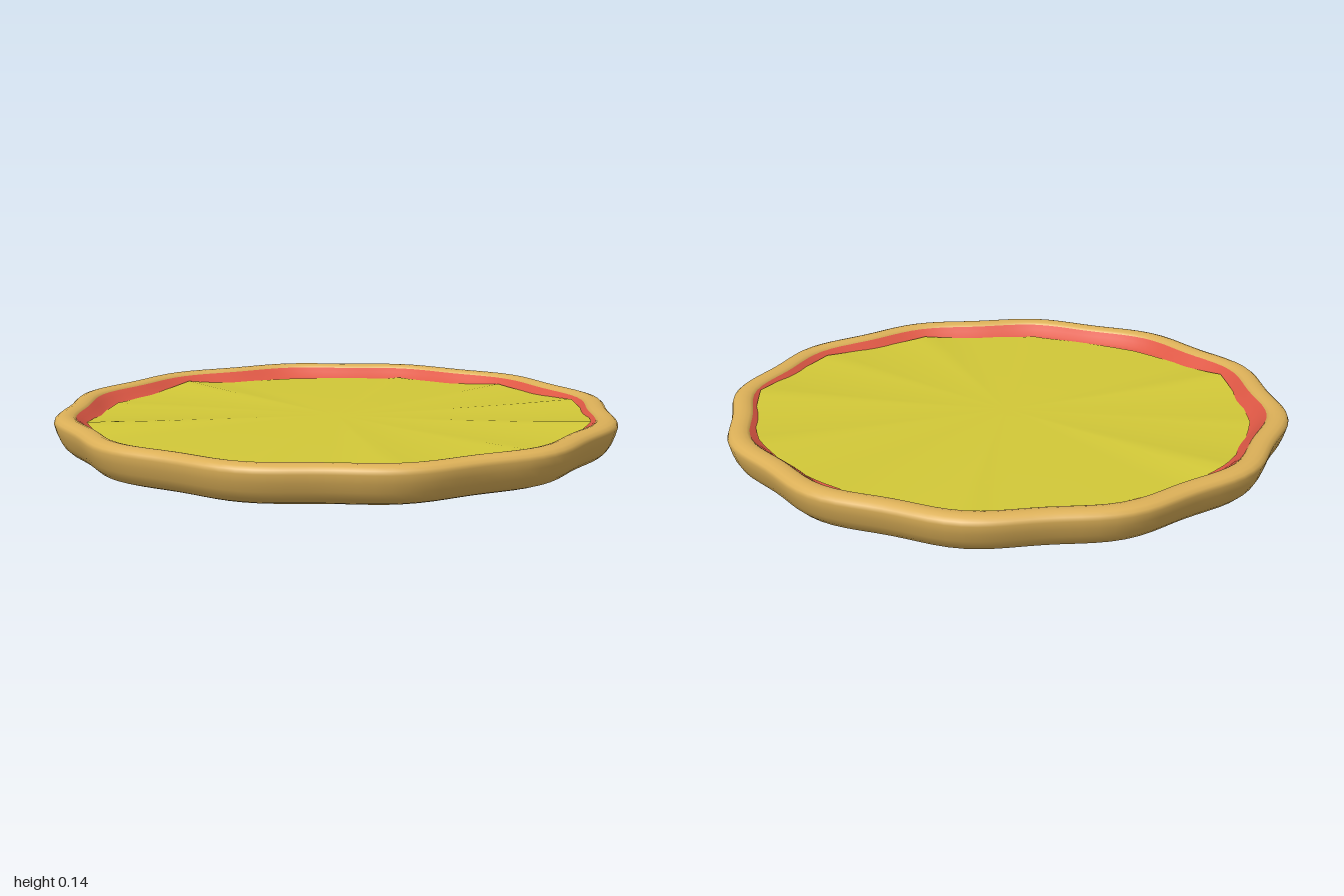
import * as THREE from 'three';
import { mergeVertices } from 'three/addons/utils/BufferGeometryUtils.js';

const SEGMENTS = 120;

// Gently lobed outline: twelve hand-pressed bulges around the rim
const outline = (a) => 0.986 + 0.014 * Math.cos(12 * a);

// Cheese reach at every 30 degrees, counterclockwise from +x
const reach = [0.91, 0.9, 0.885, 0.87, 0.855, 0.888, 0.868, 0.888, 0.853, 0.866, 0.882, 0.895];

function cheeseRadius(a) {
  const t = ((a / (Math.PI * 2)) * 12 + 12) % 12;
  const i = Math.floor(t), f = t - i;
  const r = reach[i % 12] * (1 - f) + reach[(i + 1) % 12] * f;
  return r - 0.06 * f * (1 - f); // nearly straight edge between corners
}

// Revolve a profile, then move each vertex by a rule(radius, y, angle) -> [radius, y]
function revolve(name, profile, color, rule) {
  let geo = new THREE.LatheGeometry(profile.map(([r, y]) => new THREE.Vector2(r, y)), SEGMENTS);
  const p = geo.attributes.position;
  for (let i = 0; i < p.count; i++) {
    const x = p.getX(i), z = p.getZ(i);
    const a = Math.atan2(-z, x);
    const [r, y] = rule(Math.hypot(x, z), p.getY(i), a);
    p.setXYZ(i, r * Math.cos(a), y, -r * Math.sin(a));
  }
  geo.deleteAttribute('uv');
  geo.deleteAttribute('normal');
  geo = mergeVertices(geo, 1e-5);
  geo.computeVertexNormals();
  const mesh = new THREE.Mesh(geo, new THREE.MeshStandardMaterial({ color, side: THREE.DoubleSide }));
  mesh.name = name;
  return mesh;
}

const wavy = (r, y, a) => [r * outline(a), y];

export function createModel() {
  const group = new THREE.Group();
  group.name = 'pizza';

  // Crust: flat base, flared side, rolled rim and inner lip
  group.add(revolve('crust', [
    [0, 0], [0.6, 0], [0.9, 0], [0.925, 0.002], [0.947, 0.01], [0.965, 0.026], [0.98, 0.05],
    [0.992, 0.08], [1, 0.108], [0.996, 0.121], [0.985, 0.13], [0.968, 0.135],
    [0.95, 0.135], [0.934, 0.131], [0.924, 0.124], [0.92, 0.114],
  ], 0xdcb058, wavy));

  // Sauce: shallow bowl lining the inside of the rim
  group.add(revolve('sauce', [
    [0.927, 0.126], [0.905, 0.109], [0.885, 0.092], [0.86, 0.078], [0.6, 0.075], [0, 0.075],
  ], 0xdf5845, wavy));

  // Cheese: uneven sheet whose edge rests on the sloping sauce
  group.add(revolve('cheese', [[1, 0], [0.75, 0], [0.4, 0], [0, 0]], 0xd2c838, (r, y, a) => {
    const edge = cheeseRadius(a);
    const rest = 0.094 + 0.8 * (edge - 0.87);
    return [r * edge, THREE.MathUtils.lerp(0.097, Math.max(rest, 0.088), r * r)];
  }));

  return group;
}
